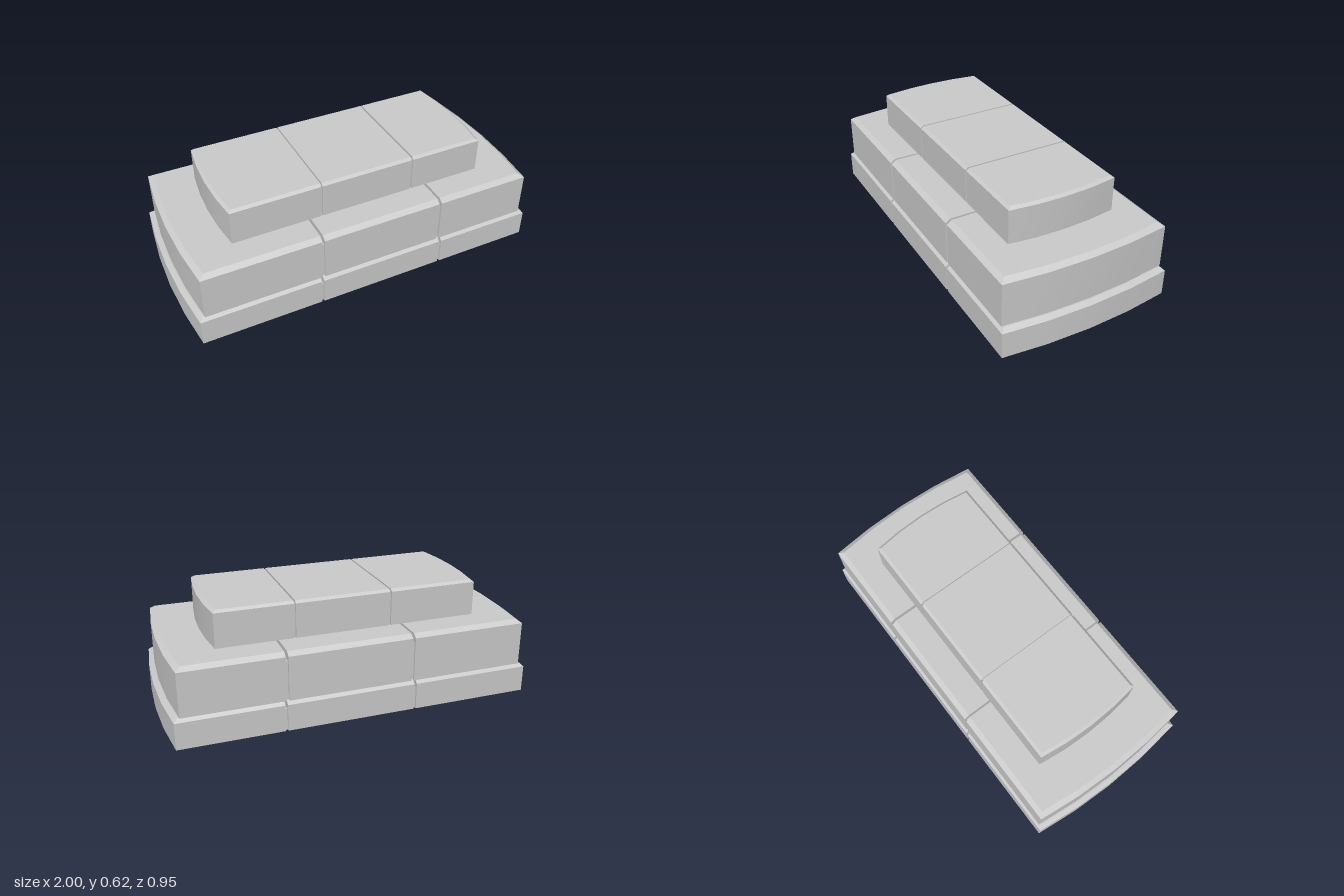
import * as THREE from 'three';
import { toCreasedNormals } from 'three/addons/utils/BufferGeometryUtils.js';

const material = new THREE.MeshStandardMaterial({ color: 0xcccccc });
const END_STEPS = 4;

// Each tier: half length, half depth, bow of the ends, heights, bevel and grooves
const tiers = [
  { name: 'base', hx: 1.0, hz: 0.475, sag: 0.035, y0: 0, y1: 0.165, rise: 0.02, inset: 0.022,
    grooves: [-0.305, 0.405], gap: 0.013, fillTop: 0.118 },
  { name: 'middle', hx: 0.97, hz: 0.462, sag: 0.034, y0: 0.162, y1: 0.422, rise: 0.02, inset: 0.027,
    grooves: [-0.293, 0.393], gap: 0.014, fillTop: 0.373 },
  { name: 'top', hx: 0.74, hz: 0.3, sag: 0.025, y0: 0.426, y1: 0.625, rise: 0.013, inset: 0.015,
    grooves: [-0.225, 0.3], gap: 0.01, fillTop: 0.612 },
];

// Plan outline of one block at one height; outer ends are bowed, inner ends are straight
function outline(t, xa, xb, inset) {
  const points = [];
  const hz = t.hz - inset;
  const bow = (k) => t.hx - inset - t.sag * k * k;
  const addEnd = (x, sign) => {
    const steps = x === null ? END_STEPS : 1;
    for (let i = 0; i <= steps; i++) {
      const k = sign * (1 - (2 * i) / steps);
      points.push([x === null ? sign * bow(k) : x, k * hz]);
    }
  };
  addEnd(xb, 1);
  addEnd(xa, -1);
  return points;
}

// Lofts the outlines into a closed block with a bevelled top
function blockGeometry(t, xa, xb) {
  const rings = [[t.y0, 0], [t.y1 - t.rise, 0], [t.y1, t.inset]].map(([y, inset]) =>
    outline(t, xa, xb, inset).map(([x, z]) => [x, y, z]));
  const n = rings[0].length;
  const positions = [];
  const tri = (a, b, c) => positions.push(...a, ...b, ...c);
  for (let r = 0; r < 2; r++) {
    for (let i = 0; i < n; i++) {
      const j = (i + 1) % n;
      tri(rings[r][i], rings[r][j], rings[r + 1][j]);
      tri(rings[r][i], rings[r + 1][j], rings[r + 1][i]);
    }
  }
  for (let i = 1; i < n - 1; i++) {
    tri(rings[2][0], rings[2][i], rings[2][i + 1]);
    tri(rings[0][0], rings[0][i + 1], rings[0][i]);
  }
  const geometry = new THREE.BufferGeometry();
  geometry.setAttribute('position', new THREE.Float32BufferAttribute(positions, 3));
  geometry.computeVertexNormals();
  return toCreasedNormals(geometry, 0.4);
}

export function createModel() {
  const model = new THREE.Group();
  model.name = 'steppedBlocks';
  for (const t of tiers) {
    const group = new THREE.Group();
    group.name = t.name + 'Tier';
    const [a, b] = t.grooves;
    const g = t.gap / 2;

    // Three blocks side by side
    const spans = { Right: [null, a - g], Centre: [a + g, b - g], Left: [b + g, null] };
    for (const [side, [xa, xb]] of Object.entries(spans)) {
      const block = new THREE.Mesh(blockGeometry(t, xa, xb), material);
      block.name = t.name + 'Block' + side;
      group.add(block);
    }

    // Recessed filler at the bottom of each groove
    for (const x of t.grooves) {
      const height = t.fillTop - t.y0;
      const filler = new THREE.Mesh(new THREE.BoxGeometry(t.gap, height, 2 * (t.hz - 0.012)), material);
      filler.position.set(x, t.y0 + height / 2, 0);
      filler.name = t.name + 'GrooveFiller';
      group.add(filler);
    }
    model.add(group);
  }
  return model;
}
